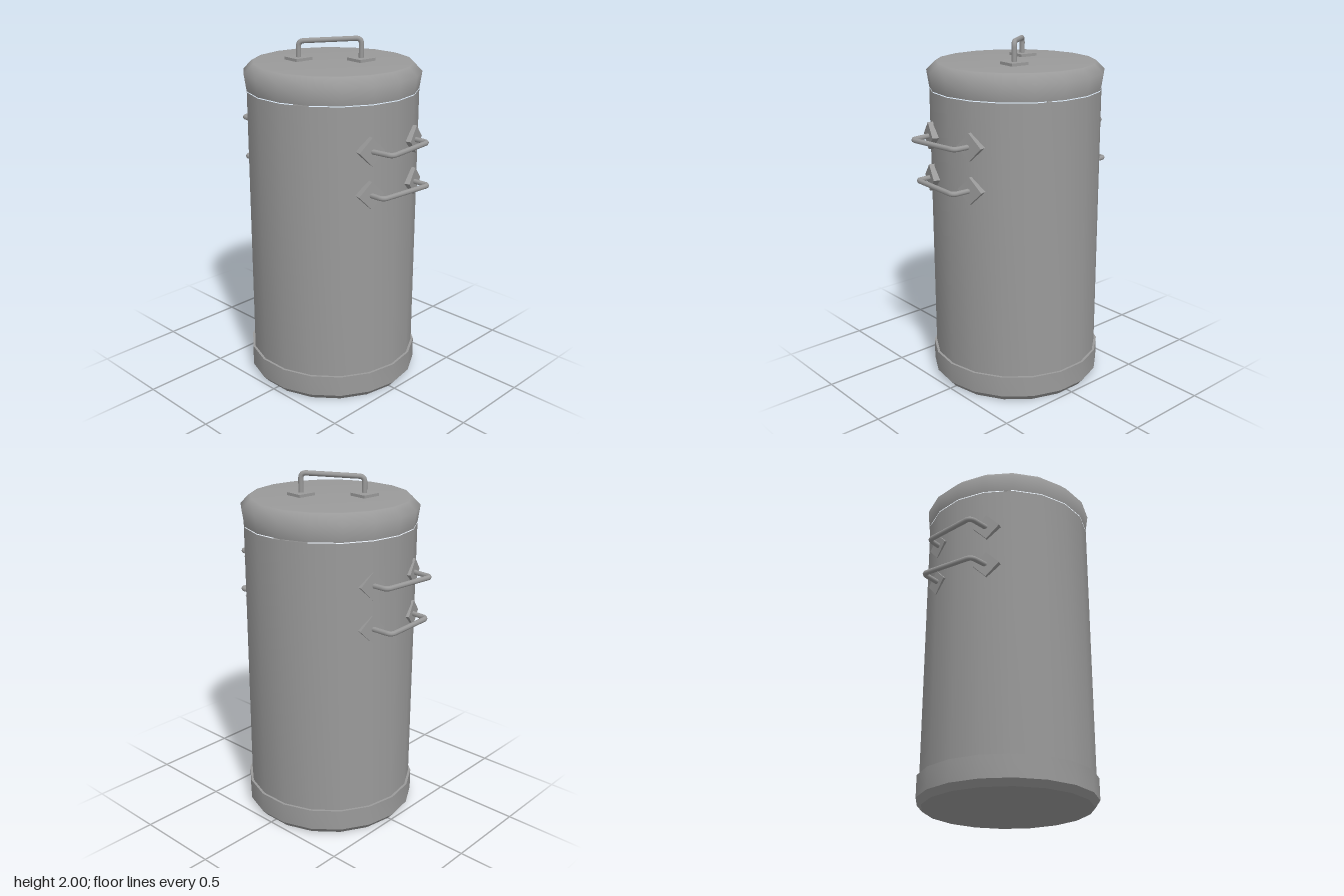
import * as THREE from 'three';
import { toCreasedNormals } from 'three/addons/utils/BufferGeometryUtils.js';

const CX = -0.009; // axis of the drum
const mat = new THREE.MeshStandardMaterial({ color: 0x9a9a9a });

function add(parent, name, geometry) {
  const mesh = new THREE.Mesh(geometry, mat);
  mesh.name = name;
  parent.add(mesh);
  return mesh;
}

// 18-sided turned part with corners on the x axis
function turned(points, crease = 0.65) {
  const profile = points.map(([r, y]) => new THREE.Vector2(r, y));
  return toCreasedNormals(new THREE.LatheGeometry(profile, 18, Math.PI / 2), crease);
}

// Bent rod through the given corners, each rounded by a small curve
function rod(corners, bend = 0.03, radius = 0.0145) {
  const p = corners.map((c) => new THREE.Vector3(...c));
  const path = new THREE.CurvePath();
  let from = p[0];
  for (let i = 1; i < p.length - 1; i++) {
    const before = p[i].clone().add(p[i - 1].clone().sub(p[i]).setLength(bend));
    const after = p[i].clone().add(p[i + 1].clone().sub(p[i]).setLength(bend));
    path.add(new THREE.LineCurve3(from, before));
    path.add(new THREE.QuadraticBezierCurve3(before, p[i], after));
    from = after;
  }
  path.add(new THREE.LineCurve3(from, p[p.length - 1]));
  return new THREE.TubeGeometry(path, 64, radius, 8, false);
}

export function createModel() {
  const model = new THREE.Group();
  model.name = 'canister';

  // Drum, base band and lid, with a hairline seam under the lid
  const drum = new THREE.Group();
  drum.name = 'drum';
  drum.position.x = CX;
  model.add(drum);
  add(drum, 'body', turned([[0.483, 0.1], [0.483, 1.715]]));
  add(drum, 'baseBand', turned([[0, 0], [0.467, 0], [0.497, 0.035], [0.497, 0.156], [0.483, 0.156]]));
  add(drum, 'lid', turned([
    [0.483, 1.72], [0.497, 1.815], [0.449, 1.863], [0.44, 1.864], [0, 1.864],
  ], 1.1));

  // Lid handle on two square feet
  const lidHandle = new THREE.Group();
  lidHandle.name = 'lidHandle';
  model.add(lidHandle);
  for (const [x, z] of [[0.103, -0.114], [-0.164, 0.11]]) {
    const foot = add(lidHandle, 'lidHandleFoot', new THREE.BoxGeometry(0.108, 0.024, 0.112));
    foot.position.set(x, 1.868, z);
    foot.rotation.y = -0.09;
  }
  add(lidHandle, 'lidHandleRod', rod([
    [-0.16, 1.86, 0.113], [-0.16, 1.968, 0.113], [0.103, 1.987, -0.114], [0.103, 1.86, -0.114],
  ]));

  // Side handles: [side, sign, height, outer x at back, outer x at front]
  const handles = [
    ['left', 1, 1.476, 0.555, 0.587],
    ['left', 1, 1.237, 0.57, 0.547],
    ['right', -1, 1.476, 0.55, 0.587],
    ['right', -1, 1.237, 0.587, 0.57],
  ];
  for (const [side, s, y, back, front] of handles) {
    const group = new THREE.Group();
    group.name = `${side}Handle`;
    model.add(group);
    // Diamond plates turned to follow the drum wall
    for (const z of [-0.165, 0.185]) {
      const mount = new THREE.Group();
      mount.name = `${side}HandleMount`;
      mount.position.set(s * 0.447, y, z * 0.98);
      mount.rotation.y = Math.atan2(-z, s * 0.56);
      group.add(mount);
      const plate = add(mount, `${side}HandlePlate`, new THREE.BoxGeometry(0.042, 0.108, 0.108));
      plate.rotation.x = Math.PI / 4;
    }
    // Bent grip
    const zFront = side === 'left' && y < 1.4 ? 0.188 : 0.17;
    add(group, `${side}HandleRod`, rod([
      [s * 0.43, y, -0.158], [s * back, y, -0.158], [s * front, y, zFront], [s * 0.43, y, 0.186],
    ]));
  }
  return model;
}
